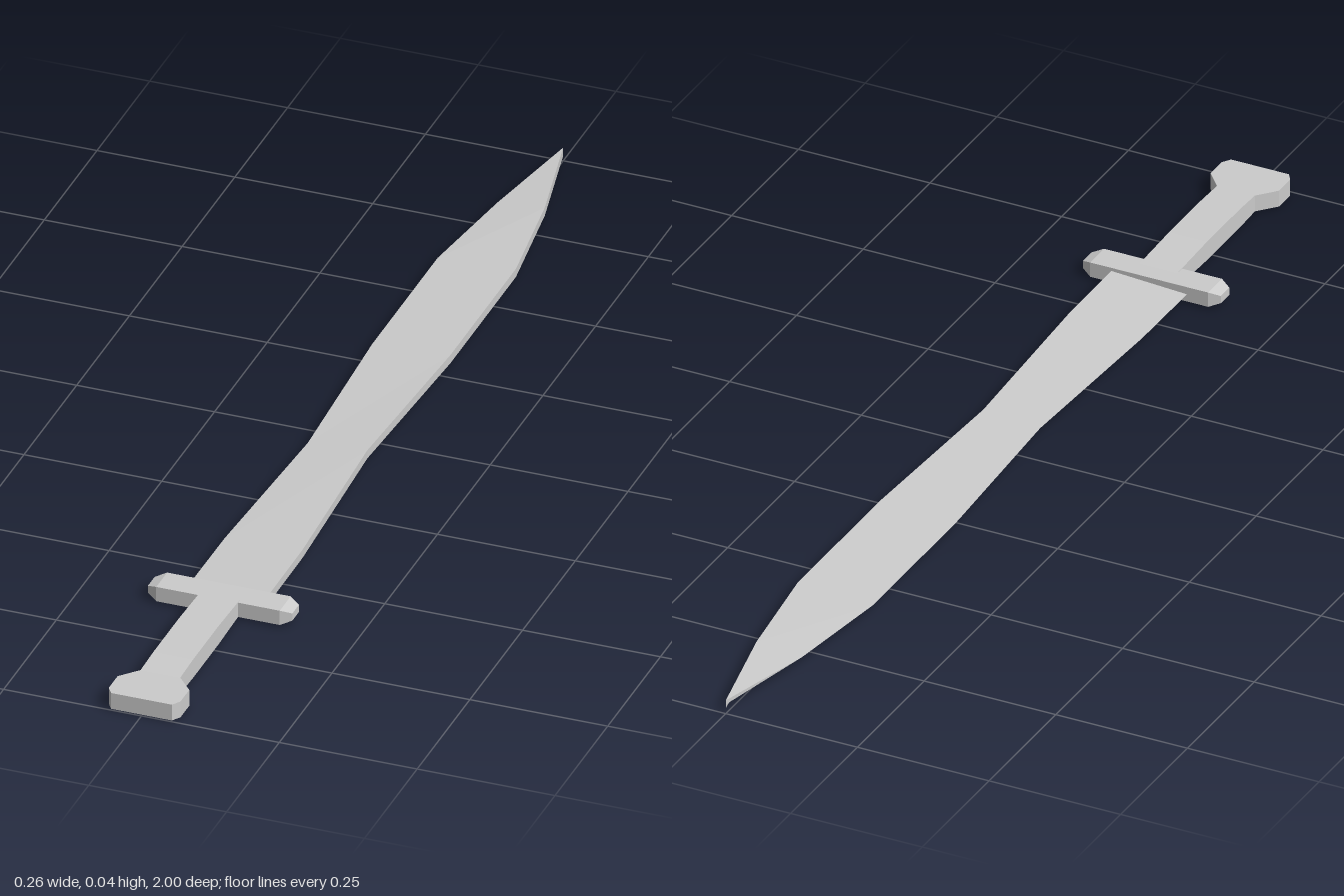
import * as THREE from 'three';

const MID = 0.018; // height of the sword's centre plane

// Loft through sections [z, loop of (x, y) corners, counterclockwise seen from +z], capped at both ends
function loft(sections) {
  const pos = [];
  const rings = sections.map(([z, loop]) => loop.map(([x, y]) => [x, y, z]));
  const tri = (a, b, c) => pos.push(...a, ...b, ...c);
  const n = rings[0].length;
  for (let s = 0; s < rings.length - 1; s++) {
    const a = rings[s], b = rings[s + 1];
    for (let i = 0; i < n; i++) {
      const j = (i + 1) % n;
      tri(a[i], a[j], b[j]);
      tri(a[i], b[j], b[i]);
    }
  }
  const first = rings[0], last = rings[rings.length - 1];
  for (let i = 1; i < n - 1; i++) {
    tri(first[0], first[i + 1], first[i]);
    tri(last[0], last[i], last[i + 1]);
  }
  const g = new THREE.BufferGeometry();
  g.setAttribute('position', new THREE.Float32BufferAttribute(pos, 3));
  g.computeVertexNormals();
  return g;
}

const rect = (w, h) => [[-w, -h], [w, -h], [w, h], [-w, h]];
const wedge = (w, h) => [[-w, 0], [w, -h], [w, h]];

export function createModel() {
  const sword = new THREE.Group();
  sword.name = 'sword';
  const material = new THREE.MeshStandardMaterial({ color: 0xcccccc, flatShading: true });
  const add = (name, geometry) => {
    const mesh = new THREE.Mesh(geometry, material);
    mesh.name = name;
    mesh.position.y = MID;
    sword.add(mesh);
    return mesh;
  };

  // Leaf-shaped blade, single-edged: sharp at -x, thick spine at +x; [z, half width]
  const blade = [[-1, 0], [-0.8, 0.043], [-0.59, 0.071], [-0.28, 0.071],
    [0.07, 0.054], [0.42, 0.071], [0.61, 0.072]];
  add('blade', loft(blade.map(([z, w]) => [z, wedge(w, 0.008)])));

  // Crossguard with tapered ends; [position, half depth, half height]
  const guard = [[-0.131, 0.016, 0.007], [-0.112, 0.026, 0.014],
    [0.112, 0.026, 0.014], [0.131, 0.016, 0.007]];
  const guardMesh = add('crossguard', loft(guard.map(([p, w, h]) => [p, rect(w, h)])));
  guardMesh.rotation.y = Math.PI / 2;
  guardMesh.position.z = 0.611;

  // Grip, slightly swollen in the middle, flaring into the pommel; [z, half width, half height]
  const grip = [[0.62, 0.036, 0.014], [0.73, 0.036, 0.018], [0.85, 0.036, 0.018], [0.91, 0.036, 0.0155]];
  const pommel = [[0.91, 0.036, 0.0155], [0.943, 0.065, 0.0155], [0.985, 0.065, 0.0155], [1, 0.055, 0.0155]];
  add('grip', loft(grip.map(([z, w, h]) => [z, rect(w, h)])));
  add('pommel', loft(pommel.map(([z, w, h]) => [z, rect(w, h)])));

  return sword;
}
